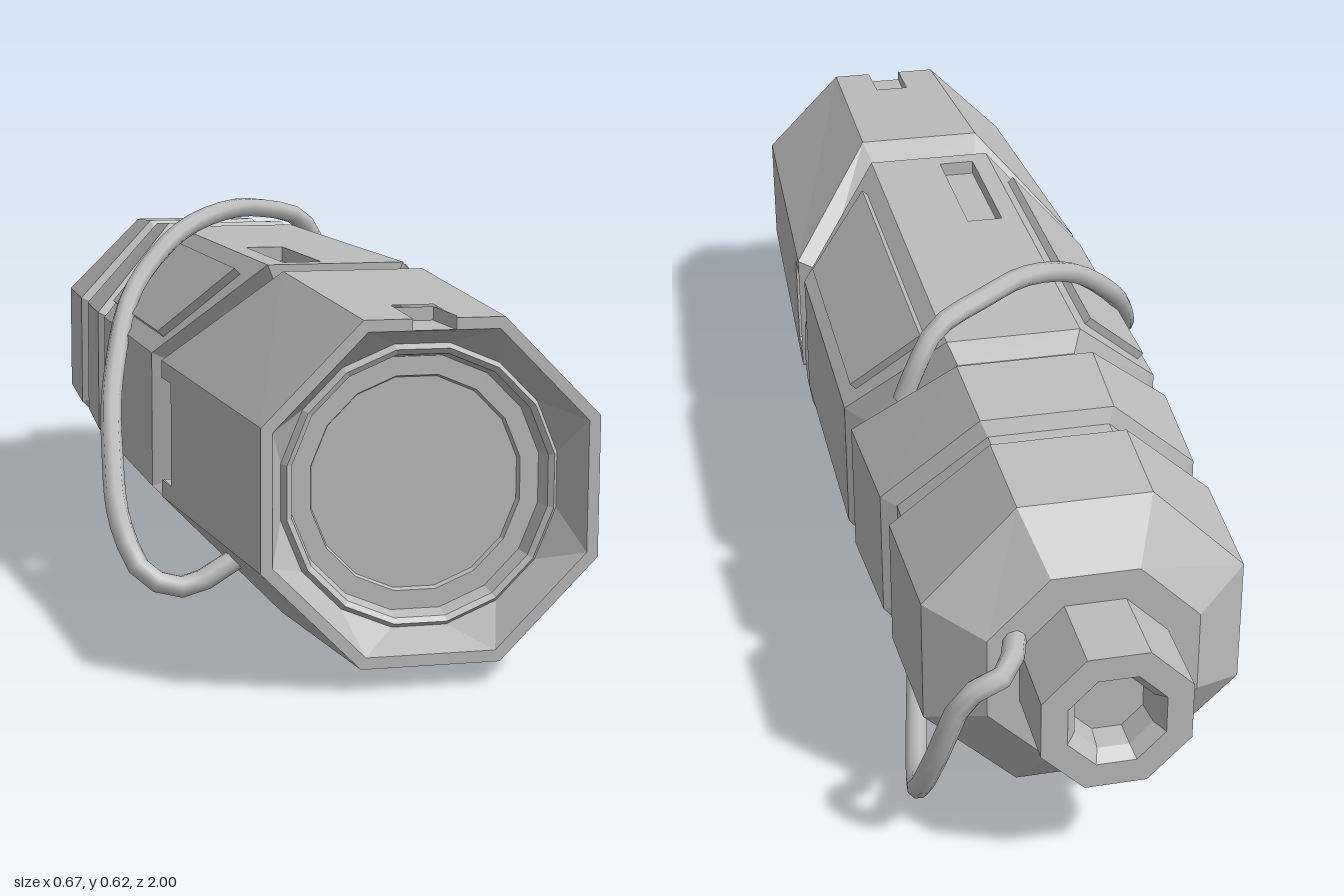
import * as THREE from 'three';

const grey = new THREE.MeshStandardMaterial({ color: 0xbcbcbc });
grey.name = 'grey';
grey.flatShading = true;
const strapGrey = grey.clone();
strapGrey.flatShading = false;
const T = Math.tan(Math.PI / 8);

function add(parent, name, geometry, material = grey) {
  const mesh = new THREE.Mesh(geometry, material);
  mesh.name = name;
  parent.add(mesh);
  return mesh;
}

// Octagonal loft along z. Ring: [z of top/bottom corners, z of side corners, apothem].
// Facets: 1 top, 3 right, 5 bottom, 7 left.
function loft(rings, skip = []) {
  const pos = [], idx = [];
  for (const [zTop, zSide, a] of rings) {
    for (let i = 0; i < 8; i++) {
      const ang = Math.PI / 8 + i * Math.PI / 4, r = a / Math.cos(Math.PI / 8);
      const x = r * Math.cos(ang), y = r * Math.sin(ang);
      pos.push(x, y, Math.abs(y) > Math.abs(x) ? zTop : zSide);
    }
  }
  for (let j = 0; j < rings.length - 1; j++) {
    for (let i = 0; i < 8; i++) {
      if (skip.includes(i)) continue;
      const a = j * 8 + i, b = j * 8 + (i + 1) % 8, c = a + 8, d = b + 8;
      idx.push(a, c, b, b, c, d);
    }
  }
  const g = new THREE.BufferGeometry();
  g.setAttribute('position', new THREE.Float32BufferAttribute(pos, 3));
  g.setIndex(idx);
  g.computeVertexNormals();
  return g;
}

const outline = (pts) => pts.map(([u, z]) => new THREE.Vector2(u, -z));

// Upward facing sheet from [across, z] corners, lifted to height(z)
function facet(pts, height, hole) {
  const shape = new THREE.Shape(outline(pts));
  if (hole) shape.holes.push(new THREE.Path(outline(hole)));
  const g = new THREE.ShapeGeometry(shape).rotateX(-Math.PI / 2);
  const p = g.attributes.position;
  for (let i = 0; i < p.count; i++) p.setY(i, height(p.getZ(i)));
  g.computeVertexNormals();
  return g;
}

// Inward facing open box; faces listed in skip are left out (2 is the top)
function pocket(u0, u1, y0, y1, z0, z1, skip) {
  const g = new THREE.BoxGeometry(u1 - u0, y1 - y0, z1 - z0);
  const src = Array.from(g.index.array), idx = [];
  for (let f = 0; f < 6; f++) {
    if (skip.includes(f)) continue;
    for (let k = 0; k < 6; k += 3) idx.push(src[f * 6 + k], src[f * 6 + k + 2], src[f * 6 + k + 1]);
  }
  g.setIndex(idx);
  g.computeVertexNormals();
  return g.translate((u0 + u1) / 2, (y0 + y1) / 2, (z0 + z1) / 2);
}

function lathe(points, sides) {
  const pts = points.map(([r, z]) => new THREE.Vector2(r / Math.cos(Math.PI / sides), z));
  return new THREE.LatheGeometry(pts, sides, Math.PI / sides).rotateX(Math.PI / 2);
}

function strap(points) {
  const curve = new THREE.CatmullRomCurve3(points.map((p) => new THREE.Vector3(...p)));
  return new THREE.TubeGeometry(curve, 40, 0.018, 8, false);
}

function addHead(parent) {
  const head = new THREE.Group();
  head.name = 'head';
  parent.add(head);
  const F = 0.25, B = 0.275, inner = 0.233, n = 0.032;

  add(head, 'headDiagonals', loft([[1, 1, F], [0.57, 0.39, B]], [1, 3, 7]));

  // top facet with a notch at the rim
  add(head, 'headTop', facet(
    [[-T * F, 1], [-n, 1], [-n, 0.89], [n, 0.89], [n, 1], [T * F, 1], [T * B, 0.57], [-T * B, 0.57]],
    (z) => F + (1 - z) / 0.43 * 0.025));
  add(head, 'rimNotch', pocket(-n, n, inner, 0.253, 0.89, 1, [2, 4]));

  // side facets with a strap slot at the rear edge
  for (const s of [-1, 1]) {
    const h = (z) => F + (1 - z) / 0.61 * 0.025;
    add(head, 'headSide', facet(
      [[-T * F, 1], [T * F, 1], [T * B, 0.39], [0.085, 0.39], [0.085, 0.455], [-0.085, 0.455],
        [-0.085, 0.39], [-T * B, 0.39]], h)).rotation.z = -s * Math.PI / 2;
    add(head, 'strapSlot', pocket(-0.085, 0.085, 0.245, 0.272, 0.39, 0.455, [2, 5]))
      .rotation.z = -s * Math.PI / 2;
  }

  // octagonal rim with the notch, then a funnel down to the round lens ring
  const oct = (a) => Array.from({ length: 8 }, (_, i) => {
    const ang = Math.PI / 8 + i * Math.PI / 4, r = a / Math.cos(Math.PI / 8);
    return new THREE.Vector2(r * Math.cos(ang), r * Math.sin(ang));
  });
  const rimPts = oct(F);
  rimPts.splice(2, 0, new THREE.Vector2(n, F), new THREE.Vector2(n, inner + 0.001),
    new THREE.Vector2(-n, inner + 0.001), new THREE.Vector2(-n, F));
  const rim = new THREE.Shape(rimPts);
  rim.holes.push(new THREE.Path(oct(inner)));
  add(head, 'rim', new THREE.ShapeGeometry(rim).translate(0, 0, 1));

  const funnel = new THREE.Shape(oct(inner));
  const round = Array.from({ length: 16 }, (_, i) => {
    const ang = (i + 0.5) * Math.PI / 8, r = 0.207 / Math.cos(Math.PI / 16);
    return new THREE.Vector2(r * Math.cos(ang), r * Math.sin(ang));
  });
  funnel.holes.push(new THREE.Path(round));
  const fg = new THREE.ShapeGeometry(funnel), p = fg.attributes.position;
  for (let i = 0; i < p.count; i++) {
    p.setZ(i, Math.hypot(p.getX(i), p.getY(i)) < 0.22 ? 0.94 : 1);
  }
  fg.computeVertexNormals();
  add(head, 'funnel', fg);
  add(head, 'lens', lathe([[0.207, 0.94], [0.2, 0.95], [0.192, 0.945], [0.186, 0.92], [0.158, 0.92],
    [0.155, 0.912], [0, 0.912]], 16));
}

function addBody(parent) {
  const A = 0.275, front = [0.465, 0.3, A], back = [-0.3, -0.2, A];
  add(parent, 'frontGroove', loft([[0.57, 0.39, A], [0.49, 0.37, 0.225], [0.465, 0.32, 0.225], front]));
  add(parent, 'body', loft([front, back], [1]));

  // top facet with a long switch recess
  const w = T * A, s = 0.032;
  add(parent, 'bodyTop', facet([[-w, 0.465], [w, 0.465], [w, -0.3], [-w, -0.3]], () => A,
    [[-0.08, 0.43], [-0.016, 0.43], [-0.016, 0.16], [-0.08, 0.16]]));
  add(parent, 'switchRecess', pocket(-0.048 - s, -0.048 + s, A - 0.025, A, 0.16, 0.43, [2]));

  // raised panels on the upper diagonals
  for (const m of [-1, 1]) {
    const shape = new THREE.Shape(outline(
      [[-0.08 * m, 0.37], [0.08 * m, 0.28], [0.08 * m, -0.18], [-0.08 * m, -0.24]]));
    const g = new THREE.ExtrudeGeometry(shape, { depth: 0.017, bevelEnabled: false });
    g.rotateX(-Math.PI / 2).translate(0, A - 0.003, 0);
    add(parent, 'sidePanel', g).rotation.z = -m * Math.PI / 4;
  }

  // collar, groove and tail cap
  add(parent, 'tail', loft([back, [-0.32, -0.23, 0.24], [-0.345, -0.25, 0.237], [-0.385, -0.275, A],
    [-0.545, -0.49, 0.262], [-0.555, -0.505, 0.237], [-0.6, -0.56, 0.237], [-0.62, -0.575, 0.262],
    [-0.79, -0.795, 0.252], [-0.86, -0.86, 0.165], [-0.86, -0.86, 0]]));
  add(parent, 'tailNeck', lathe([[0, -0.94], [0.055, -0.94], [0.06, -0.98], [0.075, -1], [0.115, -1],
    [0.115, -0.85]], 8));
}

export function createModel() {
  const model = new THREE.Group();
  model.name = 'flashlight';
  const torch = new THREE.Group();
  torch.name = 'torch';
  torch.position.set(0.05, 0.285, 0);
  model.add(torch);
  addHead(torch);
  addBody(torch);

  // carrying cord looping over the top and down the right side
  add(model, 'upperCord', strap([[0.24, 0.46, -0.3], [0.21, 0.53, -0.295], [0.175, 0.575, -0.275],
    [0.08, 0.6, -0.225], [0, 0.6, -0.165], [-0.1, 0.565, -0.1], [-0.2, 0.47, -0.02], [-0.26, 0.34, 0.12],
    [-0.3, 0.24, 0.34], [-0.317, 0.15, 0.54], [-0.29, 0.09, 0.595], [-0.23, 0.07, 0.605],
    [-0.13, 0.12, 0.6]]), strapGrey);

  // cord from the left slot, under the body to the tail
  add(model, 'lowerCord', strap([[0.29, 0.29, 0.4], [0.305, 0.24, 0.36], [0.3, 0.13, 0.31],
    [0.25, 0.06, 0.22], [0.17, 0.02, 0.04], [0.2, 0.03, -0.2], [0.26, 0.055, -0.5], [0.315, 0.065, -0.8],
    [0.32, 0.1, -0.86], [0.3, 0.2, -0.91], [0.26, 0.31, -0.93], [0.2, 0.34, -0.925],
    [0.17, 0.35, -0.85]]), strapGrey);
  return model;
}
